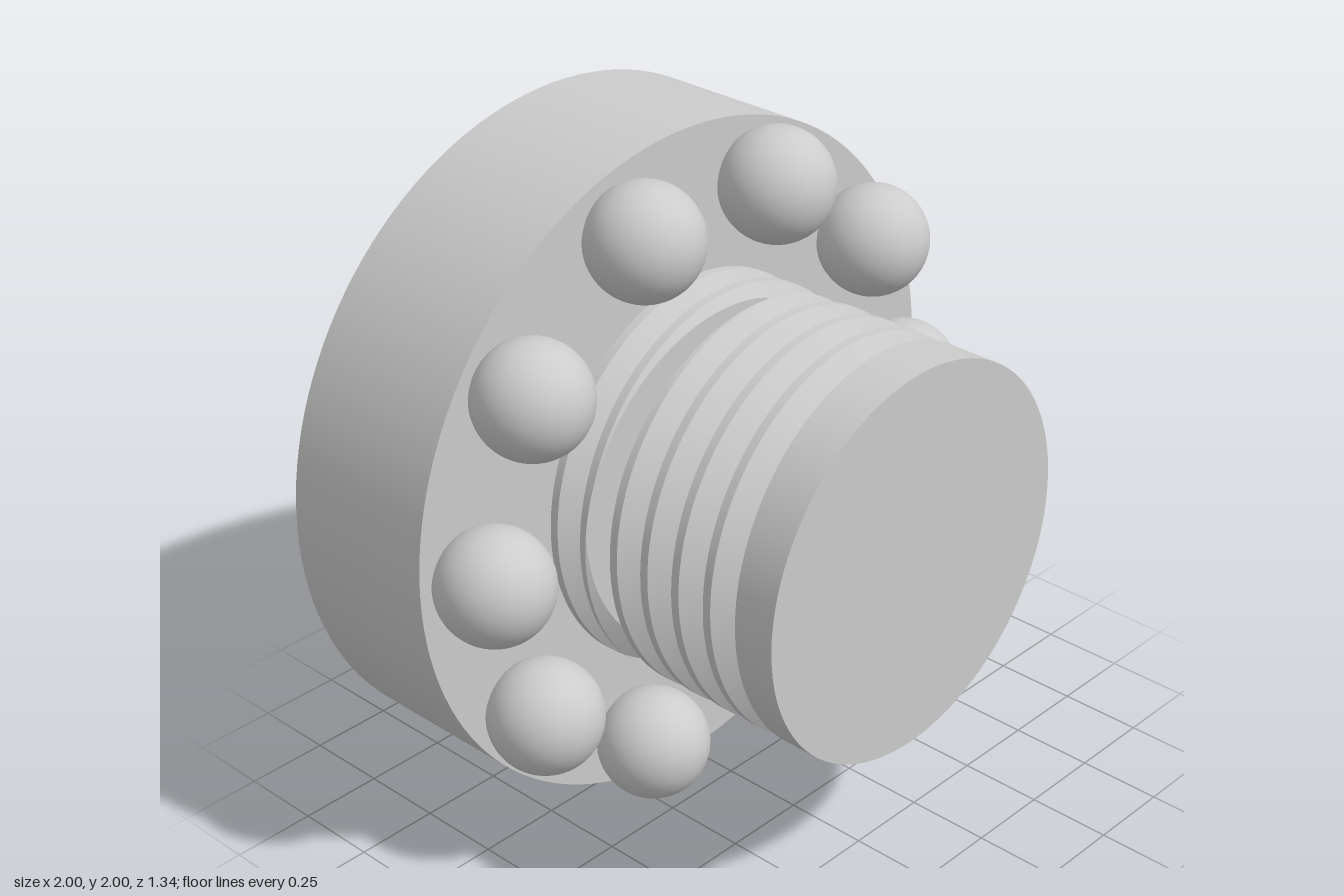
import * as THREE from 'three';

const R = 0.573;          // stem radius
const DEPTH = 0.065;      // thread groove depth
const HALF = 0.043;       // half of the groove's width
const PITCH = 0.112;
const START_Z = 0.577;    // where the groove begins
const START_ANGLE = 1.02;
const TURNS = 8;
const COLUMNS = 128;

const material = new THREE.MeshStandardMaterial({ color: 0xcccccc });

function add(parent, name, geometry) {
  const mesh = new THREE.Mesh(geometry, material);
  mesh.name = name;
  parent.add(mesh);
  return mesh;
}

function geometryFrom(positions, indices) {
  const geometry = new THREE.BufferGeometry();
  geometry.setAttribute('position', new THREE.Float32BufferAttribute(positions, 3));
  geometry.setIndex(indices);
  geometry.computeVertexNormals();
  return geometry;
}

// Point on the stem, at a fraction of a turn clockwise from the groove's start
function stemPoint(turn, radius, z) {
  const a = START_ANGLE - turn * Math.PI * 2;
  return [radius * Math.cos(a), radius * Math.sin(a), z];
}

// Radius of the threaded surface at a given turn and depth
function threadRadius(turn, z) {
  const u = (START_Z - z) / PITCH - turn;
  const k = Math.round(u);
  if (k < 0) return R;
  return R - DEPTH * Math.max(0, 1 - (Math.abs(u - k) * PITCH) / HALF);
}

// Open threaded skin between two planes; each flank is its own smooth strip
function threadedSkin(zBack, zFront) {
  const rows = [() => zFront];
  for (let k = 0; k < TURNS; k++) {
    for (const offset of [HALF, 0, -HALF]) {
      rows.push((turn) => START_Z - PITCH * (k + turn) + offset);
    }
  }
  const positions = [], indices = [];
  for (let r = 0; r < rows.length - 1; r++) {
    const base = positions.length / 3;
    for (let c = 0; c <= COLUMNS; c++) {
      const turn = c / COLUMNS;
      for (const row of [rows[r], rows[r + 1]]) {
        const z = THREE.MathUtils.clamp(row(turn), zBack, zFront);
        positions.push(...stemPoint(turn, threadRadius(turn, z), z));
      }
      if (c < COLUMNS) {
        const i = base + c * 2;
        indices.push(i, i + 2, i + 1, i + 2, i + 3, i + 1);
      }
    }
  }
  return geometryFrom(positions, indices);
}

export function createModel() {
  const model = new THREE.Group();
  model.name = 'threadedFoot';
  const body = new THREE.Group();
  body.name = 'body';
  body.position.y = 1;
  model.add(body);

  // Thick round base
  const disc = add(body, 'baseDisc', new THREE.CylinderGeometry(1, 1, 0.5, 128));
  disc.rotation.x = Math.PI / 2;
  disc.position.z = -0.42;

  // Ring of ten balls set into the disc
  const balls = new THREE.Group();
  balls.name = 'ballRing';
  body.add(balls);
  for (let i = 0; i < 10; i++) {
    const a = (i * Math.PI) / 5;
    const ball = add(balls, 'ball', new THREE.SphereGeometry(0.165, 40, 28));
    ball.position.set(0.832 * Math.cos(a), 0.832 * Math.sin(a), -0.067);
  }

  // Threaded stem in two shells with an open gap between them
  const stem = new THREE.Group();
  stem.name = 'stem';
  body.add(stem);
  add(stem, 'stemRoot', threadedSkin(-0.17, 0.005));
  add(stem, 'stemThread', threadedSkin(0.09, 0.67));
  add(stem, 'stemEnd', new THREE.CircleGeometry(R, 128)).position.z = 0.67;

  // Flat wall where the groove begins
  add(stem, 'grooveEnd', geometryFrom([
    ...stemPoint(0, R, START_Z + HALF),
    ...stemPoint(0, R - DEPTH, START_Z),
    ...stemPoint(0, R, START_Z - HALF),
  ], [0, 1, 2]));

  return model;
}
